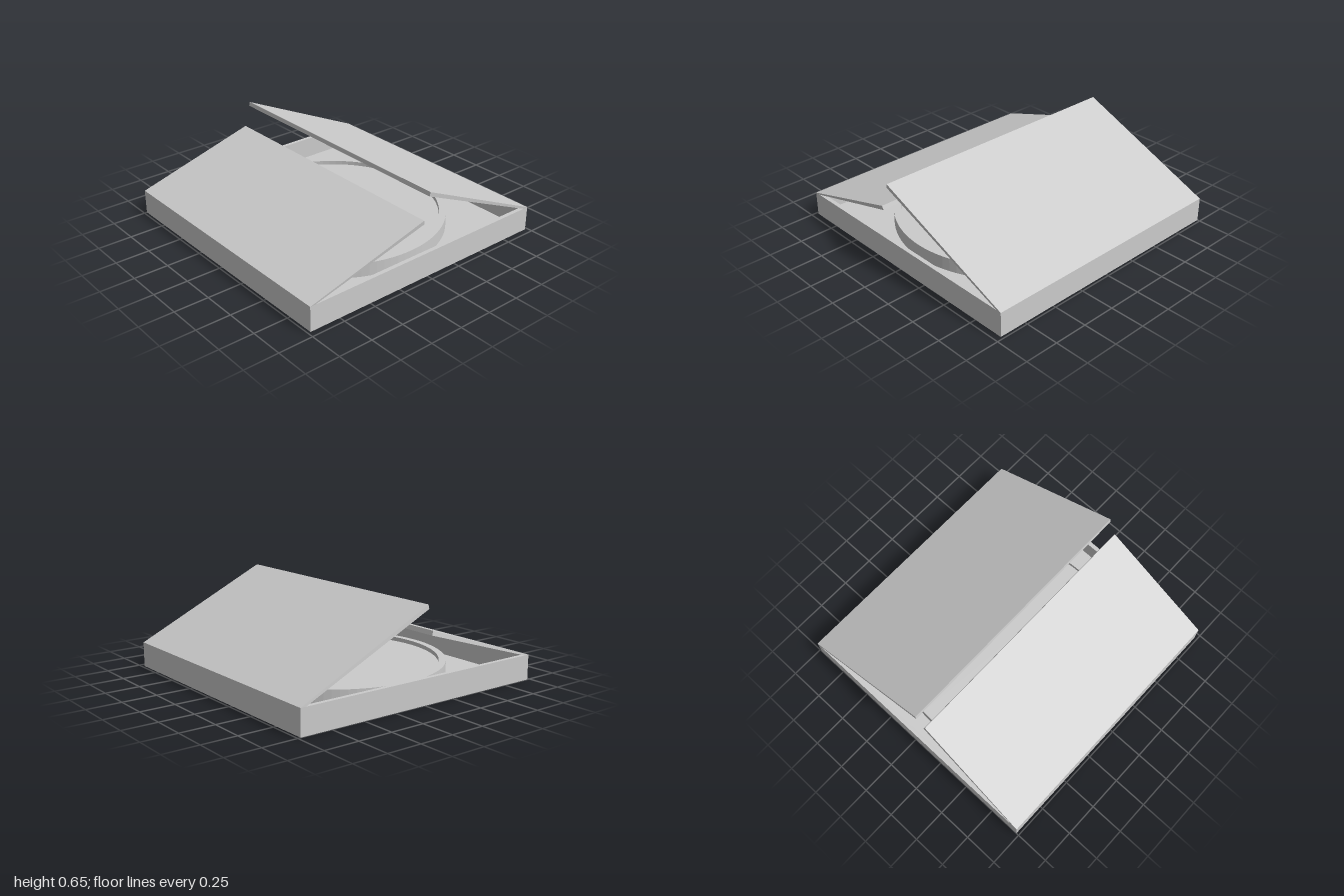
import * as THREE from 'three';

const Z0 = -1, Z1 = 0.955, ZC = (Z0 + Z1) / 2, HALF = 0.98, H = 0.18, WALL = 0.03;

export function createModel() {
  const model = new THREE.Group();
  const mat = new THREE.MeshStandardMaterial({ color: 0xcccccc });
  const add = (name, geo, y = 0, z = 0) => {
    const mesh = new THREE.Mesh(geo, mat);
    mesh.name = name;
    mesh.position.set(0, y, z);
    model.add(mesh);
  };

  // Shallow open tray: floor and four thin walls
  add('trayFloor', new THREE.BoxGeometry(2 * HALF, 0.02, Z1 - Z0), 0.01, ZC);
  const depth = Z1 - Z0;
  for (const s of [-1, 1]) {
    const side = new THREE.BoxGeometry(WALL, H, depth);
    side.translate(s * (HALF - WALL / 2), 0, 0);
    add(s > 0 ? 'leftWall' : 'rightWall', side, H / 2, ZC);
    add(s > 0 ? 'frontWall' : 'backWall',
      new THREE.BoxGeometry(2 * (HALF - WALL), H, WALL), H / 2, ZC + s * (depth / 2 - WALL / 2));
  }

  // Round disc with a raised rim lying in the tray
  const ring = new THREE.Shape().absarc(0, 0, 0.815, 0, Math.PI * 2);
  ring.holes.push(new THREE.Path().absarc(0, 0, 0.765, 0, Math.PI * 2, true));
  const rim = new THREE.ExtrudeGeometry(ring, { depth: 0.1, bevelEnabled: false, curveSegments: 48 });
  rim.rotateX(-Math.PI / 2);
  add('discRim', rim, 0.02, ZC);
  add('disc', new THREE.CylinderGeometry(0.766, 0.766, 0.07, 64), 0.055, ZC);

  // Half-open lid panels, skewed forward towards their free edge
  const lid = (name, profile, shift) => {
    const shape = new THREE.Shape(profile.map(([x, y]) => new THREE.Vector2(x, y)));
    const geo = new THREE.ExtrudeGeometry(shape, { depth, bevelEnabled: false });
    const p = geo.attributes.position, tipY = profile[3][1];
    for (let i = 0; i < p.count; i++) {
      const t = (p.getY(i) - H) / (tipY - H);
      p.setZ(i, p.getZ(i) + Z0 + shift * t);
    }
    geo.computeVertexNormals();
    add(name, geo);
  };
  lid('rightLid', [[-0.98, H], [-0.94, H], [-0.09, 0.44], [-0.1, 0.47]], 0.045);
  lid('leftLid', [[0.98, H], [0.94, H], [-0.05, 0.62], [-0.045, 0.65]], 0.035);

  return model;
}
